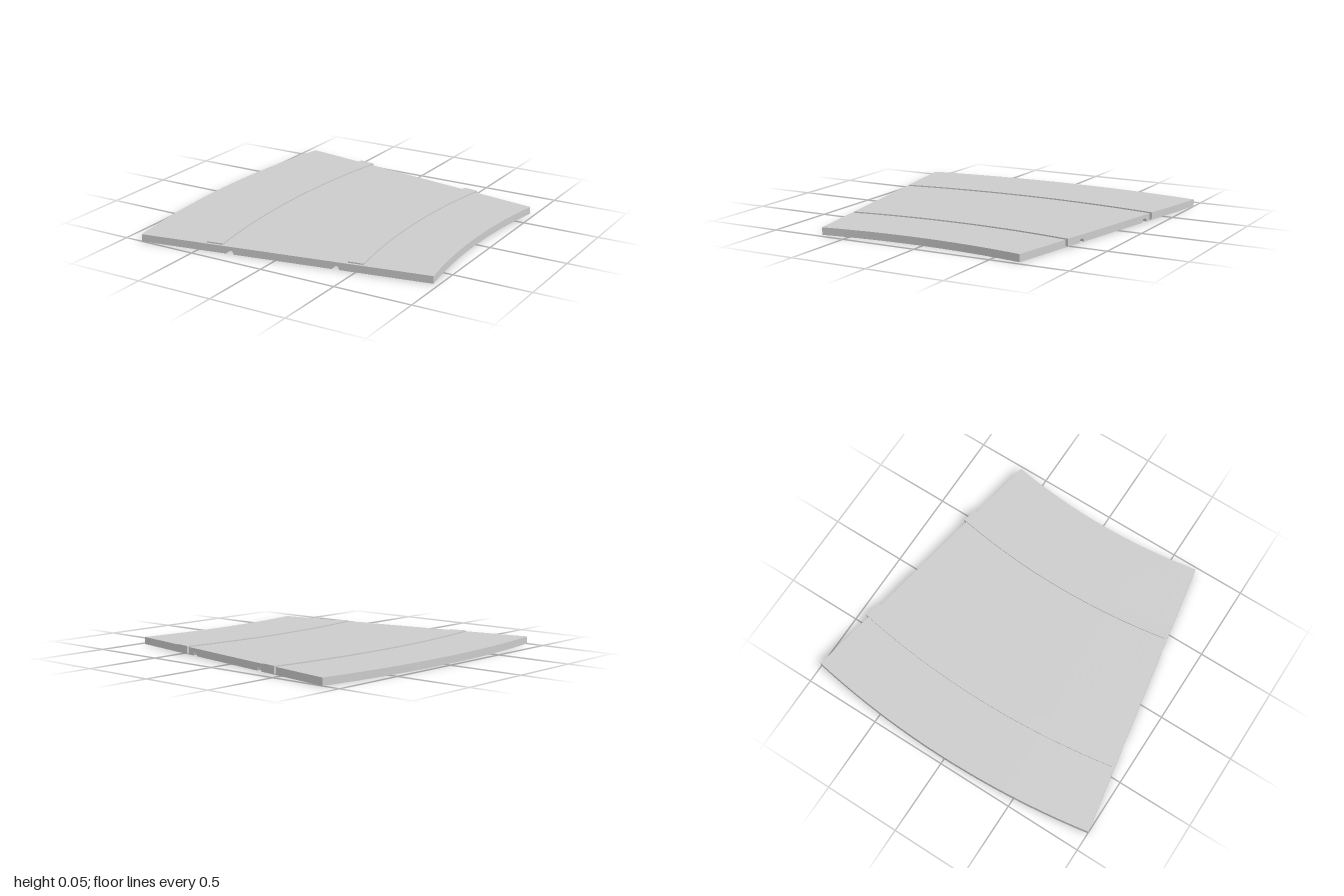
import * as THREE from 'three';
import { toCreasedNormals } from 'three/addons/utils/BufferGeometryUtils.js';

const CENTRE_X = 4.795;                       // centre of the curve
const SWEEP = THREE.MathUtils.degToRad(20);   // angle of the whole piece
const material = new THREE.MeshStandardMaterial({ color: 0xcccccc });

// Sweeps a cross-section of [x, y] points along the arc
function arcSweep(name, points) {
  const shape = new THREE.Shape(points.map(([x, y]) => new THREE.Vector2(x, y)));
  const geo = new THREE.ExtrudeGeometry(shape, { depth: 1, steps: 40, bevelEnabled: false });
  const pos = geo.attributes.position;
  for (let i = 0; i < pos.count; i++) {
    const r = CENTRE_X - pos.getX(i);
    const a = (pos.getZ(i) - 0.5) * SWEEP;
    pos.setXYZ(i, CENTRE_X - r * Math.cos(a), pos.getY(i), r * Math.sin(a));
  }
  geo.computeVertexNormals();
  const mesh = new THREE.Mesh(toCreasedNormals(geo, 0.3), material);
  mesh.name = name;
  return mesh;
}

export function createModel() {
  const group = new THREE.Group();
  group.name = 'curvedCrossingSlab';

  // Slab with two grooves along its underside
  group.add(arcSweep('slab', [
    [-0.965, 0],
    [-0.395, 0], [-0.385, 0.022], [-0.355, 0.022], [-0.345, 0],
    [0.287, 0], [0.297, 0.022], [0.323, 0.022], [0.333, 0],
    [0.907, 0], [0.907, 0.047], [-0.965, 0.047],
  ]));

  // Raised strips, shifted slightly towards the back so their ends stand proud
  for (const [name, x0, x1] of [['outerStrip', -0.535, -0.425], ['innerStrip', 0.378, 0.475]]) {
    const strip = arcSweep(name, [[x0, 0.008], [x1, 0.008], [x1, 0.055], [x0, 0.055]]);
    strip.position.z = -0.016;
    group.add(strip);
  }
  return group;
}
